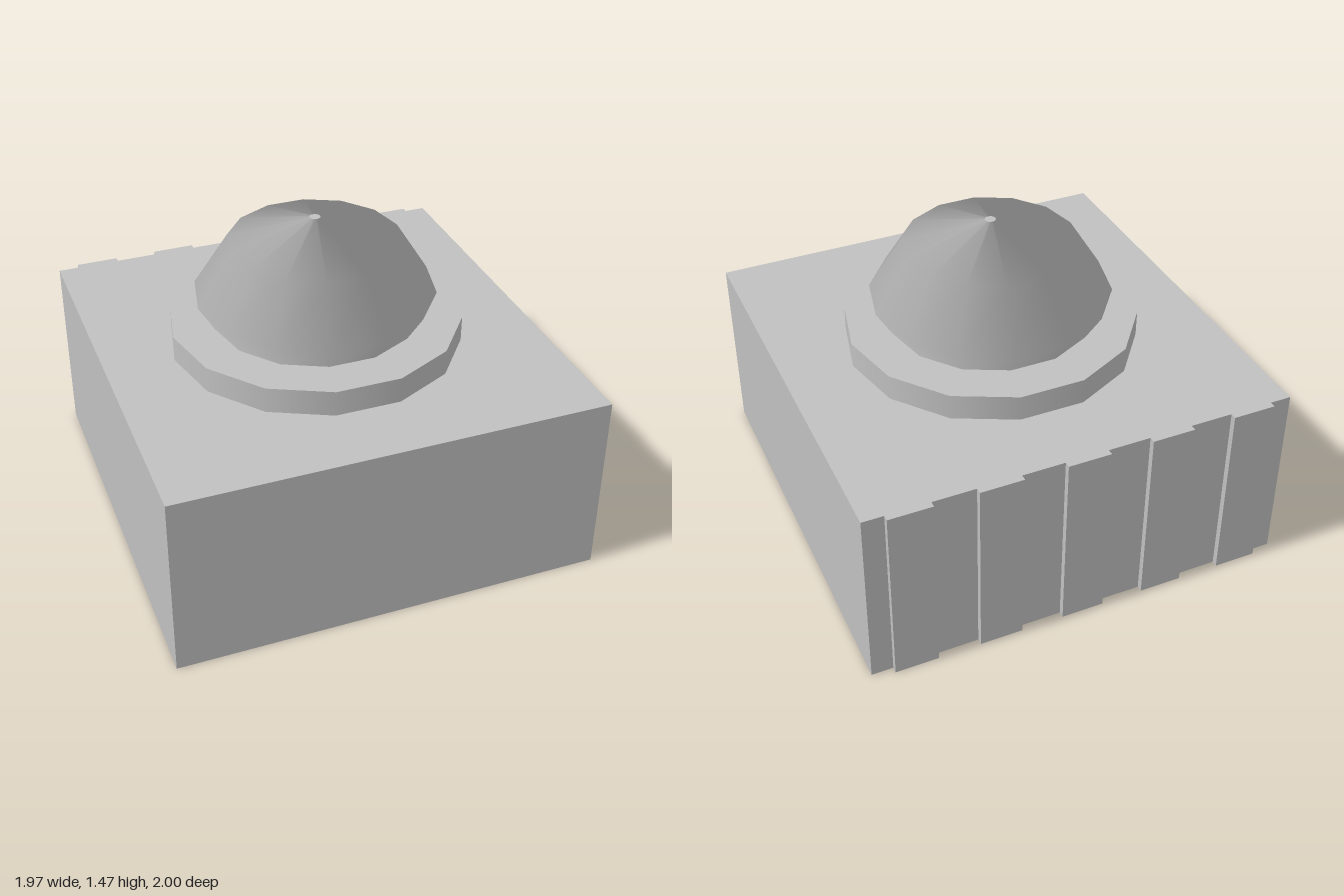
import * as THREE from 'three';

const SIDES = 14;
const CENTRE_Z = 0.012;

export function createModel() {
  const model = new THREE.Group();
  const grey = new THREE.MeshStandardMaterial({ color: 0xc0c0c0 });
  grey.name = 'plain grey';

  const add = (name, geometry) => {
    const mesh = new THREE.Mesh(geometry, grey);
    mesh.name = name;
    model.add(mesh);
    return mesh;
  };

  // Block: plan outline with five shallow ribs on the back, raised to full height
  const plan = new THREE.Shape();
  plan.moveTo(-0.985, -1);
  plan.lineTo(0.985, -1);
  plan.lineTo(0.985, 0.972);
  for (let i = 2; i >= -2; i--) {
    const x = i * 0.394;
    plan.lineTo(x + 0.099, 0.972);
    plan.lineTo(x + 0.099, 1);
    plan.lineTo(x - 0.099, 1);
    plan.lineTo(x - 0.099, 0.972);
  }
  plan.lineTo(-0.985, 0.972);
  plan.closePath();
  const block = new THREE.ExtrudeGeometry(plan, { depth: 0.868, bevelEnabled: false });
  block.rotateX(-Math.PI / 2);
  add('ribbedBlock', block);

  // Flat collar under the dome
  const collar = new THREE.CylinderGeometry(0.67, 0.67, 0.12, SIDES, 1, false, Math.PI / 2);
  add('collar', collar).position.set(0, 0.927, CENTRE_Z);

  // Dome: a cylinder pulled into shape ring by ring, keeping its radial normals
  const rings = [[0.474, 0.985], [0.55, 1.11], [0.395, 1.355], [0.025, 1.465]];
  const dome = new THREE.CylinderGeometry(1, 1, 3, SIDES, 3, false, Math.PI / 2);
  const p = dome.attributes.position;
  for (let i = 0; i < p.count; i++) {
    const [radius, y] = rings[Math.round(p.getY(i) + 1.5)];
    p.setXYZ(i, p.getX(i) * radius, y, p.getZ(i) * radius);
  }
  add('dome', dome).position.z = CENTRE_Z;

  return model;
}
